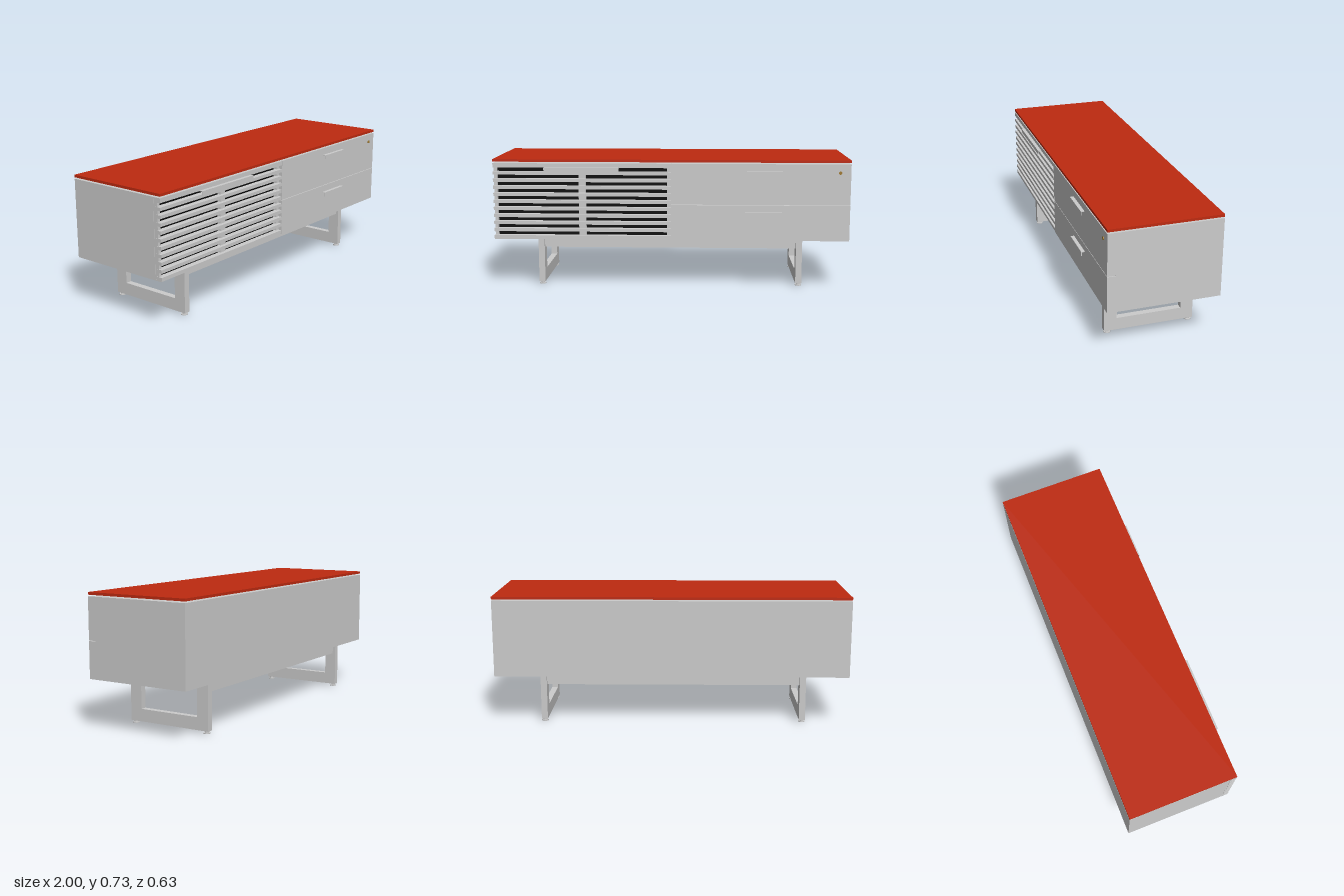
import * as THREE from 'three';

const grey = new THREE.MeshStandardMaterial({ color: 0xcccccc });
const red = new THREE.MeshStandardMaterial({ color: 0xbe2a10 });
const black = new THREE.MeshStandardMaterial({ color: 0x0a0a0a });
const brass = new THREE.MeshStandardMaterial({ color: 0xa07a30 });

export function createModel() {
  const model = new THREE.Group();
  model.name = 'sideboard';

  // Box given by its lower and upper limits on each axis
  const box = (name, [x0, x1], [y0, y1], [z0, z1], mat = grey, parent = model) => {
    const mesh = new THREE.Mesh(new THREE.BoxGeometry(x1 - x0, y1 - y0, z1 - z0), mat);
    mesh.position.set((x0 + x1) / 2, (y0 + y1) / 2, (z0 + z1) / 2);
    mesh.name = name;
    parent.add(mesh);
    return mesh;
  };
  // Upright cylinder standing between two heights
  const disc = (name, r, x, z, y0, y1, mat = grey, parent = model) => {
    const mesh = new THREE.Mesh(new THREE.CylinderGeometry(r, r, y1 - y0, 24), mat);
    mesh.position.set(x, (y0 + y1) / 2, z);
    mesh.name = name;
    parent.add(mesh);
    return mesh;
  };

  // Floating top on four spacers
  box('top', [-1, 1], [0.716, 0.73], [-0.315, 0.295], red);
  for (const x of [-0.9, 0.87])
    for (const z of [0.175, -0.203]) disc('topSpacer', 0.021, x, z, 0.708, 0.716, red);

  // Cabinet body with two drawer fronts that wrap round the end
  box('cabinetBody', [-1, 1], [0.275, 0.708], [-0.315, 0.25]);
  box('lowerDrawer', [0.002, 1], [0.275, 0.4755], [0.25, 0.295]);
  box('upperDrawer', [0.002, 1], [0.4785, 0.708], [0.25, 0.295]);

  // Louvred door: dark backing, stiles and slats
  const door = new THREE.Group();
  door.name = 'louvredDoor';
  model.add(door);
  box('doorBacking', [-0.98, -0.02], [0.28, 0.7], [0.25, 0.253], black, door);
  for (const [a, b] of [[-0.998, -0.98], [-0.52, -0.48], [-0.022, 0]])
    box('doorStile', [a, b], [0.277, 0.706], [0.25, 0.274], grey, door);
  for (let i = 0; i < 11; i++) {
    const y = 0.289 + i * 0.0403;
    box('slat', [-1, 0], [y - 0.009, y + 0.009], [0.262, 0.295], grey, door);
  }
  box('bottomEdge', [-1, 0], [0.275, 0.28], [0.25, 0.29], grey, door);
  box('topEdge', [-1, 0], [0.701, 0.708], [0.25, 0.295], grey, door);

  // Folded sheet pulls: a flat shelf with a lip turned down
  const handle = (name, x0, x1, y) => {
    const pull = new THREE.Group();
    pull.name = name;
    model.add(pull);
    box('pullShelf', [x0, x1], [y - 0.003, y], [0.285, 0.315], grey, pull);
    box('pullLip', [x0, x1], [y - 0.023, y - 0.003], [0.312, 0.315], grey, pull);
  };
  handle('doorHandle', -0.71, -0.29, 0.685);
  handle('upperDrawerHandle', 0.415, 0.62, 0.668);
  handle('lowerDrawerHandle', 0.415, 0.62, 0.437);

  // Lock
  const lock = new THREE.Mesh(new THREE.CylinderGeometry(0.009, 0.009, 0.008, 24), brass);
  lock.rotation.x = Math.PI / 2;
  lock.position.set(0.94, 0.66, 0.295);
  lock.name = 'lock';
  model.add(lock);

  // U-shaped leg frames with levelling feet
  const legX = [-0.745, 0.728], half = 0.0175;
  for (const x of legX) {
    const leg = new THREE.Group();
    leg.name = 'legFrame';
    model.add(leg);
    const w = [x - half, x + half];
    box('frontPost', w, [0.083, 0.275], [0.159, 0.229], grey, leg);
    box('backPost', w, [0.083, 0.275], [-0.274, -0.204], grey, leg);
    box('floorBar', w, [0.014, 0.083], [-0.274, 0.229], grey, leg);
    for (const z of [0.209, -0.254]) {
      disc('footStem', 0.011, x, z, 0.005, 0.014, grey, leg);
      disc('footPad', 0.019, x, z, 0, 0.005, grey, leg);
    }
  }

  // Long beams joining the leg frames under the body
  for (const z of [0.194, -0.239])
    box('underBeam', [legX[0] + half, legX[1] - half], [0.215, 0.275], [z - 0.0175, z + 0.0175]);

  return model;
}
